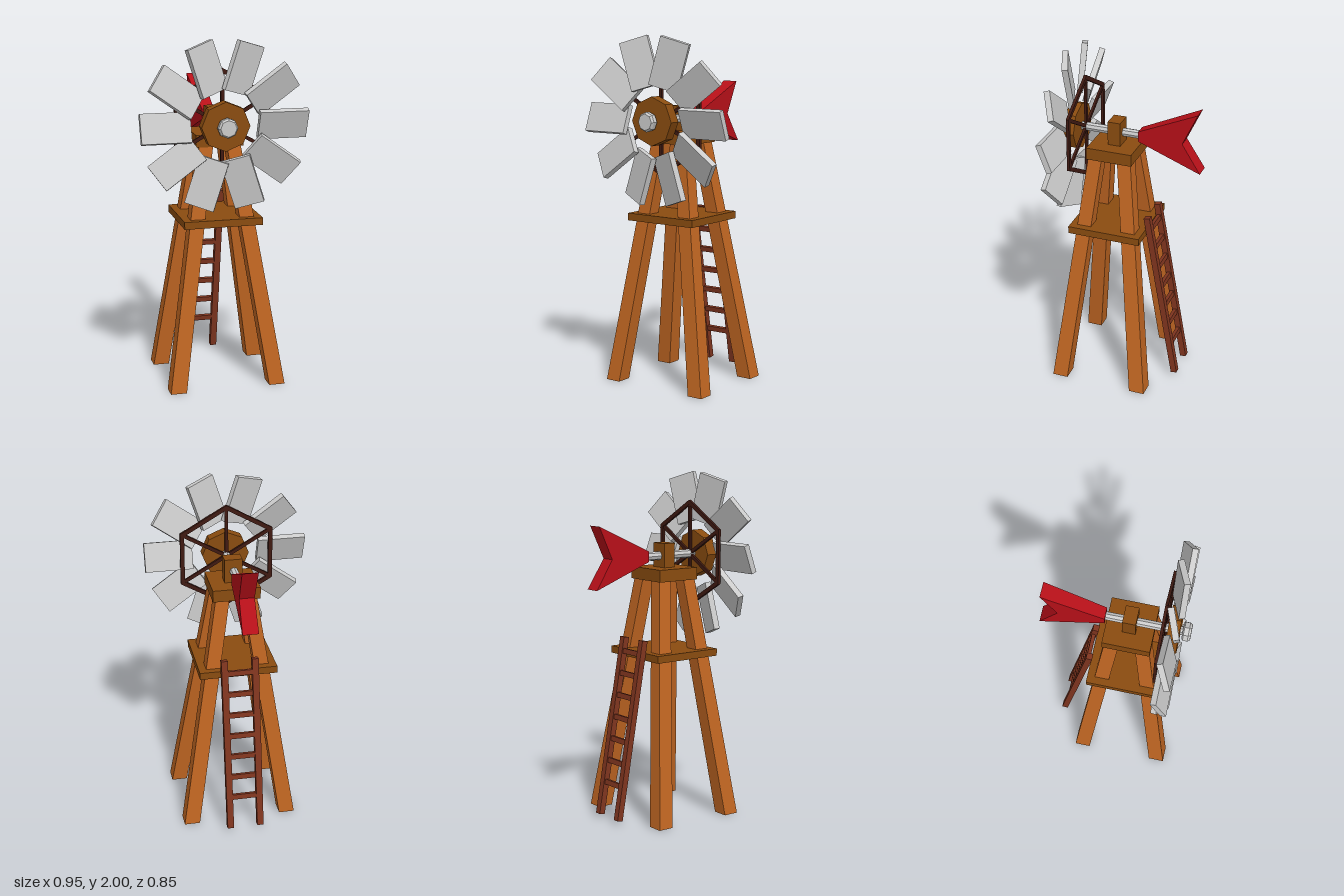
import * as THREE from 'three';

const mat = (color) => new THREE.MeshStandardMaterial({ color, flatShading: true });

export function createModel() {
  const model = new THREE.Group();
  const legWood = mat(0xc06622), plank = mat(0x8a4c10), ladderWood = mat(0x80351f);
  const dark = mat(0x401a12), red = mat(0xb81019), metal = mat(0xcccccc);

  const add = (name, geometry, material, parent = model, x = 0, y = 0, z = 0) => {
    const mesh = new THREE.Mesh(geometry, material);
    mesh.name = name;
    mesh.position.set(x, y, z);
    parent.add(mesh);
    return mesh;
  };
  const box = (name, w, h, d, material, parent, x, y, z) =>
    add(name, new THREE.BoxGeometry(w, h, d), material, parent, x, y, z);

  // Splayed legs: a box whose ends slide to the foot and top centres
  const legs = new THREE.Group();
  legs.name = 'legs';
  model.add(legs);
  const legHeight = 1.42;
  for (const [fx, fz, tx, tz] of [
    [-0.277, 0.34, -0.072, 0.175], [0.307, 0.333, 0.08, 0.175],
    [-0.277, -0.145, -0.072, 0.007], [0.307, -0.157, 0.08, 0.007],
  ]) {
    const g = new THREE.BoxGeometry(1, legHeight, 1).translate(0, legHeight / 2, 0);
    const p = g.attributes.position;
    for (let i = 0; i < p.count; i++) {
      const top = p.getY(i) > 0.1;
      const w = top ? 0.08 : 0.092;
      p.setX(i, p.getX(i) * w + (top ? tx : fx));
      p.setZ(i, p.getZ(i) * w + (top ? tz : fz));
    }
    g.computeVertexNormals();
    add('leg', g, legWood, legs);
  }

  // Platform, cap and shaft bearing
  box('platform', 0.455, 0.042, 0.43, plank, model, 0.007, 0.964, 0.09);
  box('towerCap', 0.275, 0.07, 0.27, plank, model, 0.003, 1.425, 0.089);
  box('shaftBearing', 0.103, 0.2, 0.075, plank, model, 0.003, 1.5, 0.088);

  // Leaning ladder at the back
  const ladder = new THREE.Group();
  ladder.name = 'ladder';
  ladder.position.set(0.005, 0.54, -0.221);
  ladder.rotation.x = 0.173;
  model.add(ladder);
  for (const s of [-1, 1]) box('ladderRail', 0.038, 1.05, 0.036, ladderWood, ladder, s * 0.09, 0, 0);
  for (let i = 0; i < 7; i++) {
    box('ladderRung', 0.16, 0.03, 0.022, ladderWood, ladder, 0, -0.33 + i * 0.129, 0);
  }

  // Everything on the shaft axis
  const rotor = new THREE.Group();
  rotor.name = 'rotor';
  rotor.position.set(0.001, 1.527, 0);
  model.add(rotor);

  const axial = (name, r, z0, z1, material) => {
    const g = new THREE.CylinderGeometry(r, r, z1 - z0, 8).rotateX(Math.PI / 2);
    return add(name, g, material, rotor, 0, 0, (z0 + z1) / 2);
  };
  axial('shaft', 0.025, -0.06, 0.4, metal);
  axial('hub', 0.138, 0.3, 0.365, plank);

  // Shaft nut with a chamfered front
  const nut = new THREE.LatheGeometry([
    [0, 0.378], [0.046, 0.378], [0.056, 0.386], [0.056, 0.412], [0.046, 0.425], [0, 0.425],
  ].map(([r, h]) => new THREE.Vector2(r, h)), 8).rotateX(Math.PI / 2);
  add('shaftNut', nut, metal, rotor);

  // Ten pitched blades
  for (let i = 0; i < 10; i++) {
    const arm = new THREE.Group();
    arm.name = 'bladeArm';
    arm.rotation.z = (i * Math.PI) / 5;
    rotor.add(arm);
    const blade = box('blade', 0.28, 0.17, 0.034, metal, arm, 0.333, 0, 0.335);
    blade.rotation.x = 0.36;
  }

  // Hexagonal brace with spokes behind the blades
  const brace = new THREE.Group();
  brace.name = 'hexBrace';
  brace.position.z = 0.277;
  rotor.add(brace);
  const R = 0.3;
  for (let i = 0; i < 6; i++) {
    const side = new THREE.Group();
    side.name = 'braceSide';
    side.rotation.z = (i * Math.PI) / 3;
    brace.add(side);
    box('braceRim', 0.024, R + 0.012, 0.016, dark, side, R * Math.cos(Math.PI / 6), 0, 0);
    box('braceSpoke', 0.02, R, 0.014, dark, side, 0, R / 2, 0);
  }

  // Tail vane: swallow-tail outline, slightly wider at the rear
  const outline = new THREE.Shape([
    [0.05, 0.032], [0.4, 0.192], [0.312, 0.003], [0.42, -0.165], [0.05, -0.028],
  ].map(([x, y]) => new THREE.Vector2(x, y)));
  const vane = new THREE.ExtrudeGeometry(outline, { depth: 1, bevelEnabled: false })
    .translate(0, 0, -0.5).rotateY(Math.PI / 2);
  const vp = vane.attributes.position;
  for (let i = 0; i < vp.count; i++) {
    vp.setX(i, vp.getX(i) * (0.07 + 0.06 * (-vp.getZ(i) - 0.05)));
  }
  vane.computeVertexNormals();
  add('tailVane', vane, red, rotor);

  return model;
}
